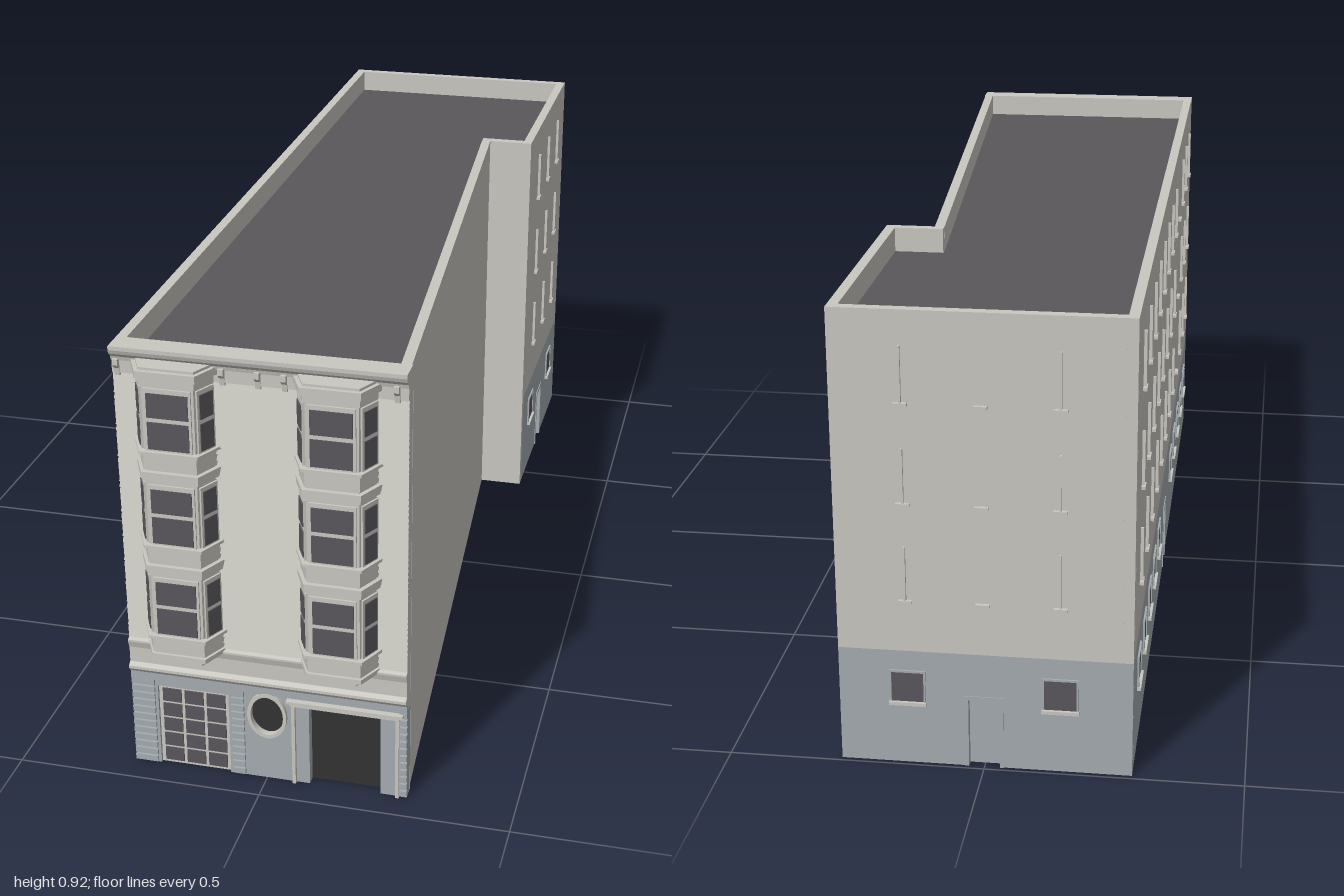
import * as THREE from 'three';

const mat = (name, color) => Object.assign(new THREE.MeshStandardMaterial({ color }), { name });

export function createModel() {
  const stone = mat('warm stone', 0xc9c7c0);
  const base = mat('blue grey base', 0xa4acb0);
  const slate = mat('slate and glass', 0x59575b);
  const dark = mat('dark opening', 0x333333);
  const model = new THREE.Group();
  model.name = 'building';

  const add = (parent, name, geo, material) => {
    const m = new THREE.Mesh(geo, material);
    m.name = name;
    parent.add(m);
    return m;
  };
  const group = (parent, name, x = 0, z = 0, turn = 0) => {
    const g = new THREE.Group();
    g.name = name;
    g.position.set(x, 0, z);
    g.rotation.y = turn;
    parent.add(g);
    return g;
  };
  // box given by its x, y and z ranges
  const slab = (parent, name, material, x0, x1, y0, y1, z0, z1) =>
    add(parent, name, new THREE.BoxGeometry(x1 - x0, y1 - y0, z1 - z0)
      .translate((x0 + x1) / 2, (y0 + y1) / 2, (z0 + z1) / 2), material);
  const polygon = pts => new THREE.Shape(pts.map(p => new THREE.Vector2(p[0], p[1])));
  const rect = (x0, x1, y0, y1) => polygon([[x0, y0], [x1, y0], [x1, y1], [x0, y1]]);
  const extrude = (shape, depth) =>
    new THREE.ExtrudeGeometry(shape, { depth, bevelEnabled: false, curveSegments: 24 });
  // moulding: a (z, y) profile run along x
  const moulding = (parent, name, material, pts, x0, x1) =>
    add(parent, name, extrude(polygon(pts.map(([z, y]) => [-z, y])), x1 - x0)
      .rotateY(Math.PI / 2).translate(x0, 0, 0), material);

  // ---- side and rear walls ----
  const H = 0.92, BASE = 0.24, ROOF = 0.87, T = 0.02;
  const A = [-0.275, 0.94], B = [0.285, 0.94], C = [0.18, -0.43];
  const D = [0.28, -0.43], E = [0.28, -0.99], F = [-0.285, -0.99];

  const wall = (name, p, q, painted, doors = [], extend = 0) => {
    const dx = q[0] - p[0], dz = q[1] - p[1], L = Math.hypot(dx, dz);
    const g = group(model, name, p[0], p[1], Math.atan2(-dz, dx));
    const low = [[-extend, 0]];
    doors.forEach(d => low.push([d - 0.035, 0], [d - 0.035, 0.147], [d + 0.035, 0.147], [d + 0.035, 0]));
    low.push([L, 0], [L, BASE], [-extend, BASE]);
    add(g, 'lowerWall', extrude(polygon(low), T).translate(0, 0, -T), painted ? base : stone);
    add(g, 'upperWall', extrude(rect(-extend, L, BASE, H), T).translate(0, 0, -T), stone);
    add(g, 'innerWall', new THREE.PlaneGeometry(L, ROOF).rotateY(Math.PI)
      .translate(L / 2, ROOF / 2, -T - 0.001), base);
    doors.forEach(d => {
      slab(g, 'door', base, d - 0.035, d + 0.035, 0, 0.147, -T, -0.014);
      slab(g, 'doorBack', slate, d - 0.035, d + 0.035, 0, 0.147, -T - 0.004, -T - 0.001);
      [-1, 1].forEach(s => slab(g, 'doorJamb', base,
        d + s * 0.034 - 0.004, d + s * 0.034 + 0.004, 0, 0.15, -0.014, 0.002));
      slab(g, 'doorHead', base, d - 0.038, d + 0.038, 0.143, 0.151, -0.014, 0.002);
    });
    return g;
  };
  const groundWindow = (g, x) => {
    slab(g, 'windowGlass', slate, x - 0.031, x + 0.031, 0.132, 0.195, 0, 0.002);
    [-1, 1].forEach(s => slab(g, 'windowJamb', base,
      x + s * 0.033 - 0.002, x + s * 0.033 + 0.002, 0.132, 0.199, 0, 0.004));
    slab(g, 'windowHead', base, x - 0.035, x + 0.035, 0.195, 0.199, 0, 0.004);
    slab(g, 'windowSill', stone, x - 0.036, x + 0.036, 0.126, 0.133, 0, 0.008);
  };
  const upperOpenings = (g, x, tall) => [0.342, 0.54, 0.738].forEach(y => {
    slab(g, 'upperSill', stone, x - 0.013, x + 0.013, y, y + 0.006, 0, 0.008);
    if (tall) slab(g, 'upperFin', stone, x - 0.002, x + 0.002, y, y + 0.115, 0, 0.006);
  });

  wall('rightPartyWall', B, C, false);
  wall('stepWall', C, D, false, [], T);
  const rightRear = wall('rightRearWall', D, E, true, [0.28]);
  [0.13, 0.43].forEach(x => groundWindow(rightRear, x));
  [0.134, 0.284, 0.434].forEach(x => upperOpenings(rightRear, x, true));
  const rear = wall('rearWall', E, F, true, [0.28]);
  [0.133, 0.427].forEach(x => groundWindow(rear, x));
  [0.133, 0.28, 0.427].forEach((x, i) => upperOpenings(rear, x, i !== 1));
  const left = wall('leftWall', F, A, true, [0.97]);
  for (let i = 0; i < 5; i++) {
    groundWindow(left, 0.14 + i * 0.15);
    groundWindow(left, 1.19 + i * 0.15);
  }
  for (let i = 0; i < 12; i++) upperOpenings(left, 0.14 + i * 0.151, i !== 8);

  // ---- roof and ceiling ----
  const deck = polygon([[-0.266, -0.93], [0.274, -0.93], [0.17, 0.44], [0.27, 0.44], [0.27, 0.98], [-0.275, 0.98]]);
  add(model, 'roof', new THREE.ShapeGeometry(deck).rotateX(-Math.PI / 2).translate(0, ROOF, 0), slate);
  add(model, 'ceiling', new THREE.ShapeGeometry(deck).rotateX(Math.PI / 2)
    .scale(1, 1, -1).translate(0, ROOF - 0.004, 0), base).material.side = THREE.DoubleSide;

  // ---- street front ----
  const X0 = -0.275, X1 = 0.285;
  const front = group(model, 'frontFacade', 0, 0.94);
  const ground = polygon([[X0, 0], [-0.222, 0], [-0.222, 0.183], [-0.076, 0.183], [-0.076, 0],
    [0.088, 0], [0.088, 0.182], [0.232, 0.182], [0.232, 0], [X1, 0], [X1, 0.2], [X0, 0.2]]);
  const oval = (rx, ry) => new THREE.Path().absellipse(0.004, 0.15, rx, ry, 0, Math.PI * 2);
  ground.holes.push(oval(0.036, 0.046));
  add(front, 'groundFloorWall', extrude(ground, 0.025).translate(0, 0, -0.025), base);
  slab(front, 'upperFrontWall', stone, X0, X1, 0.2, H, -0.025, 0);
  add(front, 'frontInnerWall', new THREE.PlaneGeometry(X1 - X0, ROOF).rotateY(Math.PI)
    .translate(0.005, ROOF / 2, -0.028), base);

  // grid window with three by five panes
  slab(front, 'gridFrame', stone, -0.222, -0.076, 0, 0.183, -0.025, -0.006);
  for (let i = 0; i < 3; i++) for (let j = 0; j < 5; j++)
    slab(front, 'gridPane', slate, -0.214 + i * 0.0455, -0.175 + i * 0.0455,
      0.006 + j * 0.035, 0.036 + j * 0.035, -0.006, -0.004);

  // oval window
  const ring = new THREE.Shape().absellipse(0.004, 0.15, 0.04, 0.051, 0, Math.PI * 2);
  ring.holes.push(oval(0.033, 0.043));
  add(front, 'ovalFrame', extrude(ring, 0.012).translate(0, 0, -0.004), stone);
  slab(front, 'ovalOpening', dark, -0.036, 0.044, 0.1, 0.2, -0.024, -0.01);

  // entrance
  slab(front, 'entranceOpening', dark, 0.088, 0.232, 0, 0.182, -0.025, -0.02);
  [0.054, 0.263].forEach(x => slab(front, 'entrancePost', stone, x, x + 0.007, 0, 0.186, 0, 0.008));
  slab(front, 'entranceLintel', stone, 0.052, 0.272, 0.182, 0.189, 0, 0.01);
  slab(front, 'entranceCap', stone, 0.045, 0.278, 0.189, 0.195, 0, 0.014);

  // horizontal courses on the ground floor piers
  [[X0, -0.228], [-0.07, -0.044], [0.27, X1]].forEach(([a, b]) => {
    for (let y = 0.003; y < 0.19; y += 0.0165) slab(front, 'pierCourse', base, a, b, y, y + 0.0125, 0, 0.005);
  });

  // belt courses
  slab(front, 'baseBand', base, X0, X1, 0.198, 0.217, 0, 0.006);
  moulding(front, 'beltLedge', stone,
    [[0, 0.216], [0.008, 0.216], [0.014, 0.224], [0.014, 0.23], [0.006, 0.236], [0, 0.236]], X0, X1);
  slab(front, 'beltPanel', stone, X0, X1, 0.236, 0.27, 0, 0.005);
  moulding(front, 'beltCap', stone,
    [[0, 0.268], [0.007, 0.27], [0.011, 0.284], [0.011, 0.288], [0, 0.292]], X0, X1);

  // clapboards
  const boards = [[-0.002, 0.292]];
  for (let i = 0; i < 43; i++) boards.push([0.005, 0.292 + i * 0.0132], [0.001, 0.305 + i * 0.0132]);
  boards.push([-0.002, 0.86]);
  moulding(front, 'clapboards', stone, boards, X0, X1);

  // cornice with brackets
  slab(front, 'frieze', stone, X0, X1, 0.862, 0.888, 0, 0.007);
  moulding(front, 'cornice', stone, [[0, 0.884], [0.01, 0.888], [0.012, 0.896], [0.02, 0.904],
    [0.023, 0.912], [0.023, H], [0, H]], X0, X1);
  [-0.265, -0.063, 0.005, 0.055, 0.264].forEach(x => moulding(front, 'bracket', stone,
    [[0, 0.855], [0.008, 0.857], [0.01, 0.872], [0.018, 0.88], [0.018, 0.892], [0, 0.892]], x - 0.005, x + 0.005));

  // ---- bay windows ----
  const b = 0.074, f = 0.05, d = 0.048;
  const sash = (g, w, y) => {
    slab(g, 'sashFrame', stone, -w / 2 - 0.005, w / 2 + 0.005, y - 0.004, y + 0.122, 0, 0.004);
    [[0, 0.055], [0.064, 0.113]].forEach(([lo, hi]) =>
      slab(g, 'sashGlass', slate, -w / 2, w / 2, y + lo, y + hi, 0.003, 0.006));
  };
  const bay = cx => {
    const g = group(front, 'bayWindow', cx, 0);
    const tier = (name, grow, y0, y1) => add(g, name, extrude(polygon([
      [-b - grow, 0], [-f - grow * 0.6, -d - grow], [f + grow * 0.6, -d - grow], [b + grow, 0]]), y1 - y0)
      .rotateX(-Math.PI / 2).translate(0, y0, 0), stone);
    tier('bayBody', 0, 0.29, 0.885);
    [[-0.024, 0.258], [-0.016, 0.267], [-0.006, 0.276], [0.006, 0.284]].forEach(([grow, y]) =>
      tier('bayCorbel', grow, y, y + 0.0095));
    [0.34, 0.538, 0.735].forEach((y, i) => {
      tier('baySill', 0.011, y - 0.01, y - 0.004);
      tier('bayApron', 0.003, y - 0.044, y - 0.012);
      if (i < 2) {
        tier('bayHead', 0.006, y + 0.13, y + 0.137);
        tier('bayBand', 0.009, y + 0.137, y + 0.15);
      }
      const face = group(g, 'bayFront', 0, d);
      sash(face, 0.08, y);
      [-1, 1].forEach(s => {
        const side = group(g, 'baySide', s * (b + f) / 2, d / 2, s * Math.atan2(d, b - f));
        sash(side, 0.034, y);
      });
    });
    tier('bayHead', 0.005, 0.862, 0.878);
    tier('bayCornice', 0.012, 0.878, 0.893);
    tier('bayCap', 0.004, 0.893, 0.898);
  };
  [-0.155, 0.153].forEach(bay);

  return model;
}
